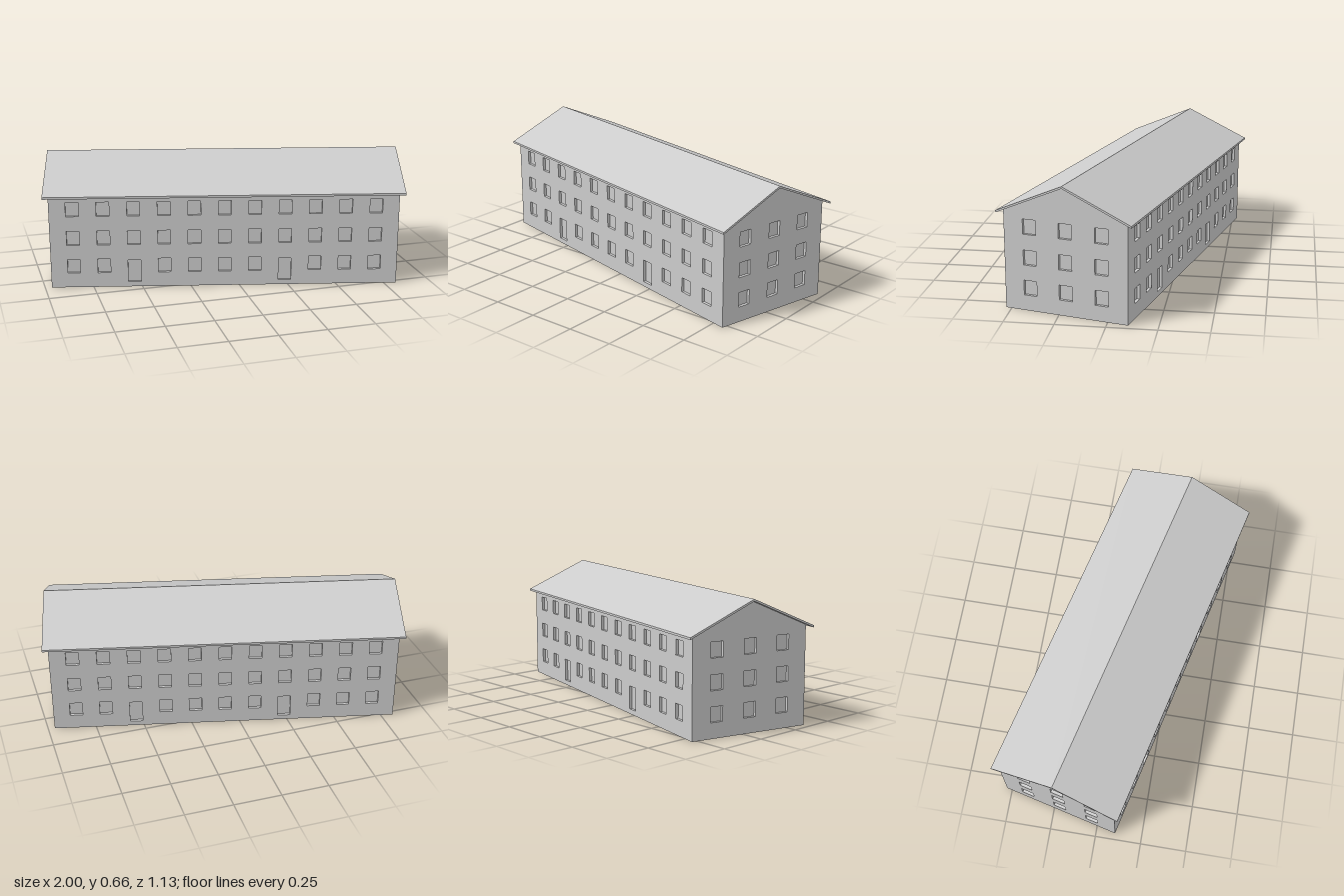
import * as THREE from 'three';
import { mergeGeometries } from 'three/addons/utils/BufferGeometryUtils.js';

const HALF_LENGTH = 0.915, HALF_WIDTH = 0.325;   // walls
const ROOF_LENGTH = 1.886, ROOF_HALF = 0.353;    // roof with overhang
const EAVE = 0.497, RIDGE = 0.652, THICKNESS = 0.011;
const WALL_TOP = EAVE + (RIDGE - EAVE) * (1 - HALF_WIDTH / ROOF_HALF);
const RECESS = 0.015;
const ROWS = [0.118, 0.274, 0.432];              // window centre heights
const DOOR_COLUMNS = [2, 7];

const material = new THREE.MeshStandardMaterial({
  color: 0xcccccc, flatShading: true, side: THREE.DoubleSide,
});

// Openings of one wall: a regular grid, with doors replacing some ground windows
function openings(columns, pitch, width, doors) {
  const list = [];
  for (let c = 0; c < columns; c++) {
    const x = (c - (columns - 1) / 2) * pitch;
    ROWS.forEach((y, row) => {
      const door = row === 0 && doors.includes(c);
      list.push(door ? { x, y: 0.087, w: width, h: 0.122, door }
                     : { x, y, w: width, h: 0.077, door });
    });
  }
  return list;
}

// Shallow pocket behind an opening: a box without its front, facing inwards
function pocket({ x, y, w, h }) {
  const g = new THREE.BoxGeometry(w, h, RECESS);
  const kept = Array.from(g.index.array).filter((_, i) => i < 24 || i >= 30);
  g.setIndex(kept.reverse());
  g.clearGroups();
  g.computeVertexNormals();
  return g.translate(x, y, -RECESS / 2);
}

// Wall sheet with holes, plus its recessed windows and doors
function makeWall(name, outline, list) {
  const wall = new THREE.Group();
  wall.name = name;
  const shape = new THREE.Shape(outline.map(([x, y]) => new THREE.Vector2(x, y)));
  for (const { x, y, w, h } of list) {
    const hole = new THREE.Path();
    hole.moveTo(x - w / 2, y - h / 2);
    hole.lineTo(x - w / 2, y + h / 2);
    hole.lineTo(x + w / 2, y + h / 2);
    hole.lineTo(x + w / 2, y - h / 2);
    hole.closePath();
    shape.holes.push(hole);
  }
  const add = (part, geometry) => {
    const mesh = new THREE.Mesh(geometry, material);
    mesh.name = part;
    wall.add(mesh);
  };
  add('wallFace', new THREE.ShapeGeometry(shape));
  add('windows', mergeGeometries(list.filter((o) => !o.door).map(pocket)));
  const doors = list.filter((o) => o.door);
  if (doors.length) add('doors', mergeGeometries(doors.map(pocket)));
  return wall;
}

export function createModel() {
  const model = new THREE.Group();
  model.name = 'longBuilding';
  const building = new THREE.Group();
  building.name = 'building';
  building.rotation.y = -0.2347;
  model.add(building);

  const longOutline = [
    [-HALF_LENGTH, 0], [HALF_LENGTH, 0], [HALF_LENGTH, WALL_TOP], [-HALF_LENGTH, WALL_TOP],
  ];
  const gableOutline = [
    [-HALF_WIDTH, 0], [HALF_WIDTH, 0], [HALF_WIDTH, WALL_TOP], [0, RIDGE], [-HALF_WIDTH, WALL_TOP],
  ];

  // Opposite walls are the same wall turned by half a circle
  for (const [turn, longName, gableName] of [
    [0, 'frontWall', 'leftGableWall'], [Math.PI, 'backWall', 'rightGableWall'],
  ]) {
    const side = new THREE.Group();
    side.name = turn ? 'backHalf' : 'frontHalf';
    side.rotation.y = turn;
    const longWall = makeWall(longName, longOutline, openings(11, 0.1588, 0.067, DOOR_COLUMNS));
    longWall.position.z = HALF_WIDTH;
    const gable = makeWall(gableName, gableOutline, openings(3, 0.189, 0.069, []));
    gable.rotation.y = Math.PI / 2;
    gable.position.x = HALF_LENGTH;
    side.add(longWall, gable);
    building.add(side);
  }

  // Pitched roof slab with overhanging eaves
  const section = new THREE.Shape([
    [-ROOF_HALF, EAVE], [0, RIDGE], [ROOF_HALF, EAVE],
    [ROOF_HALF, EAVE + THICKNESS], [0, RIDGE + THICKNESS], [-ROOF_HALF, EAVE + THICKNESS],
  ].map(([x, y]) => new THREE.Vector2(x, y)));
  const roofGeometry = new THREE.ExtrudeGeometry(section, { depth: ROOF_LENGTH, bevelEnabled: false });
  roofGeometry.translate(0, 0, -ROOF_LENGTH / 2).rotateY(Math.PI / 2);
  const roof = new THREE.Mesh(roofGeometry, material);
  roof.name = 'roof';
  building.add(roof);

  return model;
}
